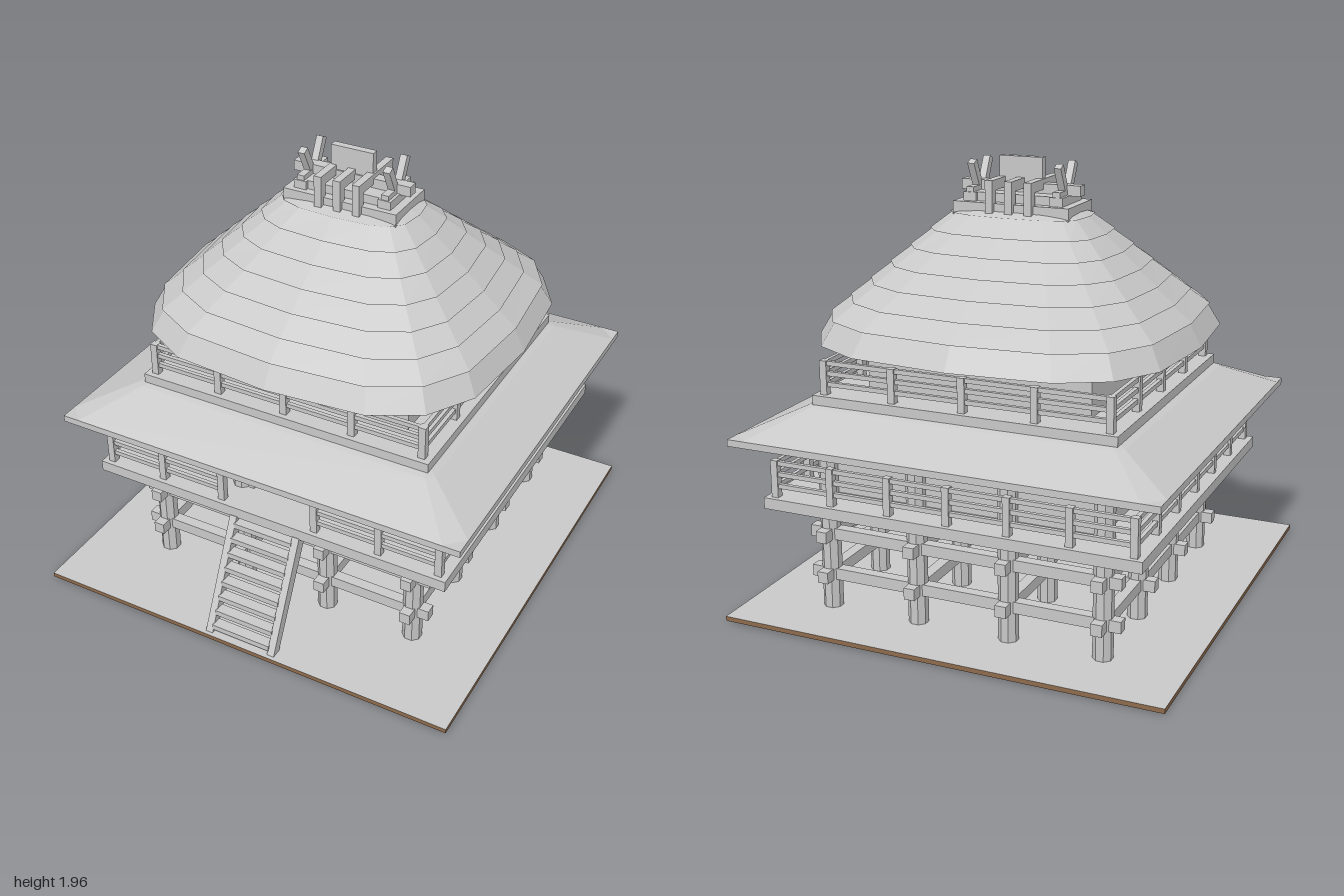
import * as THREE from 'three';

const mat = (name, color) => {
  const m = new THREE.MeshStandardMaterial({ color });
  m.name = name;
  return m;
};

export function createModel() {
  const grey = mat('pale grey', 0xc8c8c8);
  const dark = mat('dark opening', 0x323122);
  const brown = mat('earth brown', 0x8c6a4c);
  const root = new THREE.Group();
  root.name = 'raisedPavilion';

  const add = (parent, name, geo, material = grey) => {
    const m = new THREE.Mesh(geo, material);
    m.name = name;
    parent.add(m);
    return m;
  };
  // Box given by its size, centre x/z and bottom height
  const box = (parent, name, w, h, d, x, y0, z, material = grey) => {
    const m = add(parent, name, new THREE.BoxGeometry(w, h, d), material);
    m.position.set(x, y0 + h / 2, z);
    return m;
  };
  const group = (name, parent, z = 0) => {
    const g = new THREE.Group();
    g.name = name;
    g.position.z = z;
    parent.add(g);
    return g;
  };
  // Flat-shaded skin through equal-length rings, bottom to top, with an optional lid
  const loft = (rings, lid) => {
    const pos = [];
    const n = rings[0].length;
    for (let j = 0; j < rings.length - 1; j++) {
      for (let i = 0; i < n; i++) {
        const k = (i + 1) % n;
        const [a, b, c, d] = [rings[j][i], rings[j][k], rings[j + 1][i], rings[j + 1][k]];
        pos.push(...a, ...c, ...b, ...b, ...c, ...d);
      }
    }
    if (lid) {
      const top = rings[rings.length - 1];
      for (let i = 0; i < n; i++) pos.push(0, top[0][1], 0, ...top[(i + 1) % n], ...top[i]);
    }
    const g = new THREE.BufferGeometry();
    g.setAttribute('position', new THREE.Float32BufferAttribute(pos, 3));
    g.computeVertexNormals();
    return g;
  };

  // Ground slab: brown with a grey top face
  const slab = box(root, 'groundSlab', 2, 0.021, 2, 0, 0.004, 0);
  slab.material = [brown, brown, grey, brown, brown, brown];

  const house = group('house', root, -0.067);

  // Stilts and the two layers of tie beams
  const frame = group('stiltFrame', house);
  const lines = [-0.635, -0.212, 0.212, 0.635];
  for (const x of lines) {
    for (const z of lines) {
      const p = add(frame, 'column', new THREE.CylinderGeometry(0.044, 0.044, 0.81, 8).toNonIndexed());
      p.geometry.computeVertexNormals();
      p.position.set(x, 0.405, z);
      p.rotation.y = Math.PI / 8;
    }
    for (const y of [0.157, 0.345]) {
      box(frame, 'tieBeam', 1.44, 0.052, 0.05, 0, y, x);
      box(frame, 'tieBeam', 0.05, 0.052, 1.44, x, y, 0);
    }
  }

  // Railings: posts along a run, with three rails
  const railing = (parent, run, alongX, fixed, y0, h) => {
    const put = (name, len, hh, t, at, y) => alongX
      ? box(parent, name, len, hh, t, at, y, fixed)
      : box(parent, name, t, hh, len, fixed, y, at);
    for (const p of run) put('railPost', 0.032, h, 0.032, p, y0);
    const a = run[0], b = run[run.length - 1];
    for (const f of [0.24, 0.56, 0.86]) put('rail', b - a, 0.02, 0.018, (a + b) / 2, y0 + h * f);
  };
  const spread = (half, n) => Array.from({ length: n }, (_, i) => -half + (2 * half * i) / (n - 1));

  // Lower storey
  const lower = group('lowerStorey', house);
  box(lower, 'lowerDeck', 1.71, 0.05, 1.62, 0, 0.505, 0);
  box(lower, 'lowerWalls', 1.25, 0.255, 1.25, 0, 0.555, 0);
  box(lower, 'lowerDoor', 0.285, 0.225, 0.008, 0, 0.577, 0.629, dark);
  for (const s of [-1, 1]) {
    box(lower, 'doorJamb', 0.028, 0.25, 0.04, s * 0.158, 0.555, 0.635);
    railing(lower, spread(0.773, 7), false, s * 0.812, 0.555, 0.167);
    const run = [0.23, 0.535, 0.812];
    railing(lower, s > 0 ? run : run.map((v) => -v).reverse(), true, 0.773, 0.555, 0.167);
  }
  railing(lower, spread(0.812, 7), true, -0.773, 0.555, 0.167);

  // Skirt roof with bevelled hips
  const rect = (hx, hz, c, y) => [
    [hx, y, c - hz], [hx, y, hz - c], [hx - c, y, hz], [c - hx, y, hz],
    [-hx, y, hz - c], [-hx, y, c - hz], [c - hx, y, -hz], [hx - c, y, -hz],
  ];
  box(house, 'skirtEave', 1.91, 0.03, 1.82, 0, 0.805, 0);
  add(house, 'skirtRoof', loft([
    rect(0.952, 0.907, 0.075, 0.835), rect(0.72, 0.68, 0.03, 0.94), rect(0.68, 0.64, 0.02, 0.951),
  ], true));

  // Upper storey
  const upper = group('upperStorey', house);
  box(upper, 'upperDeck', 1.38, 0.042, 1.31, 0, 0.948, 0);
  box(upper, 'upperWalls', 1.025, 0.23, 0.955, 0, 0.985, 0);
  box(upper, 'upperDoor', 0.265, 0.19, 0.02, 0, 1.017, 0.487, dark);
  for (const s of [-1, 1]) {
    railing(upper, spread(0.647, 5), true, s * 0.615, 0.99, 0.15);
    railing(upper, spread(0.615, 5), false, s * 0.647, 0.99, 0.15);
  }

  // Layered thatched roof: sixteen-sided rounded rectangles
  const soft = (v) => Math.sign(v) * Math.pow(Math.abs(v) < 1e-6 ? 0 : Math.abs(v), 0.64);
  const ring = (hx, hz, y) => Array.from({ length: 16 }, (_, i) => {
    const a = (i * Math.PI) / 8;
    return [hx * soft(Math.cos(a)), y, hz * soft(Math.sin(a))];
  });
  const layers = [ring(0.82, 0.775, 1.2), ring(0.765, 0.715, 1.3)];
  for (let i = 0; i < 7; i++) {
    const hx = 0.775 - 0.077 * i, hz = 0.725 - 0.089 * i, y = 1.3 + 0.07 * i;
    const rise = i < 6 ? 0.07 : 0.03;
    layers.push(ring(hx, hz, y), ring(hx - 0.087, hz - 0.099, y + rise));
  }
  add(house, 'thatchedRoof', loft(layers, true));
  const under = ring(0.819, 0.774, 1.201).map(([x, y, z]) => [x, y, z]);
  const soffit = loft([under, under.map(([, y]) => [0, y, 0])]);
  add(house, 'roofUnderside', soffit.scale(1, -1, 1).translate(0, 2.402, 0), dark);
  // Mirroring reversed the corners, so turn each face to look down
  const p = soffit.attributes.position;
  for (let i = 0; i < p.count; i += 3) {
    const a = new THREE.Vector3().fromBufferAttribute(p, i + 1);
    const b = new THREE.Vector3().fromBufferAttribute(p, i + 2);
    p.setXYZ(i + 1, b.x, b.y, b.z);
    p.setXYZ(i + 2, a.x, a.y, a.z);
  }
  soffit.computeVertexNormals();

  // Ridge crown
  const ridge = group('ridgeCrown', house);
  box(ridge, 'ridgeBase', 0.535, 0.065, 0.27, 0, 1.705, 0);
  box(ridge, 'ridgeStep', 0.44, 0.04, 0.19, 0, 1.768, 0);
  box(ridge, 'ridgeBeam', 0.555, 0.045, 0.05, 0, 1.805, 0);
  box(ridge, 'ridgeBoard', 0.2, 0.12, 0.035, 0, 1.84, 0);
  for (const x of [-0.09, 0, 0.09]) {
    box(ridge, 'saddleTop', 0.034, 0.045, 0.31, x, 1.825, 0);
    for (const s of [-1, 1]) box(ridge, 'saddleLeg', 0.034, 0.12, 0.04, x, 1.72, s * 0.135);
  }
  for (const x of [-0.2, 0.2]) {
    box(ridge, 'hornSeat', 0.06, 0.04, 0.22, x, 1.768, 0);
    box(ridge, 'hornBlock', 0.034, 0.03, 0.21, x, 1.8, 0);
    for (const s of [-1, 1]) {
      const horn = box(ridge, 'horn', 0.032, 0.16, 0.034, x, 1.785, s * 0.045);
      horn.rotation.x = s * 0.47;
    }
  }

  // Front ladder
  const ladder = group('ladder', root);
  const side = new THREE.Shape([[0.935, 0.025], [0.982, 0.025], [0.745, 0.51], [0.685, 0.51]]
    .map(([z, y]) => new THREE.Vector2(z, y)));
  for (const s of [-1, 1]) {
    const g = new THREE.ExtrudeGeometry(side, { depth: 0.034, bevelEnabled: false });
    g.translate(0, 0, -0.017).rotateY(-Math.PI / 2);
    add(ladder, 'stringer', g).position.x = s * 0.156;
  }
  for (let i = 0; i < 8; i++) {
    const t = i / 7;
    box(ladder, 'tread', 0.285, 0.026, 0.05, 0, 0.04 + t * 0.42, 0.95 - t * 0.21);
  }
  return root;
}
